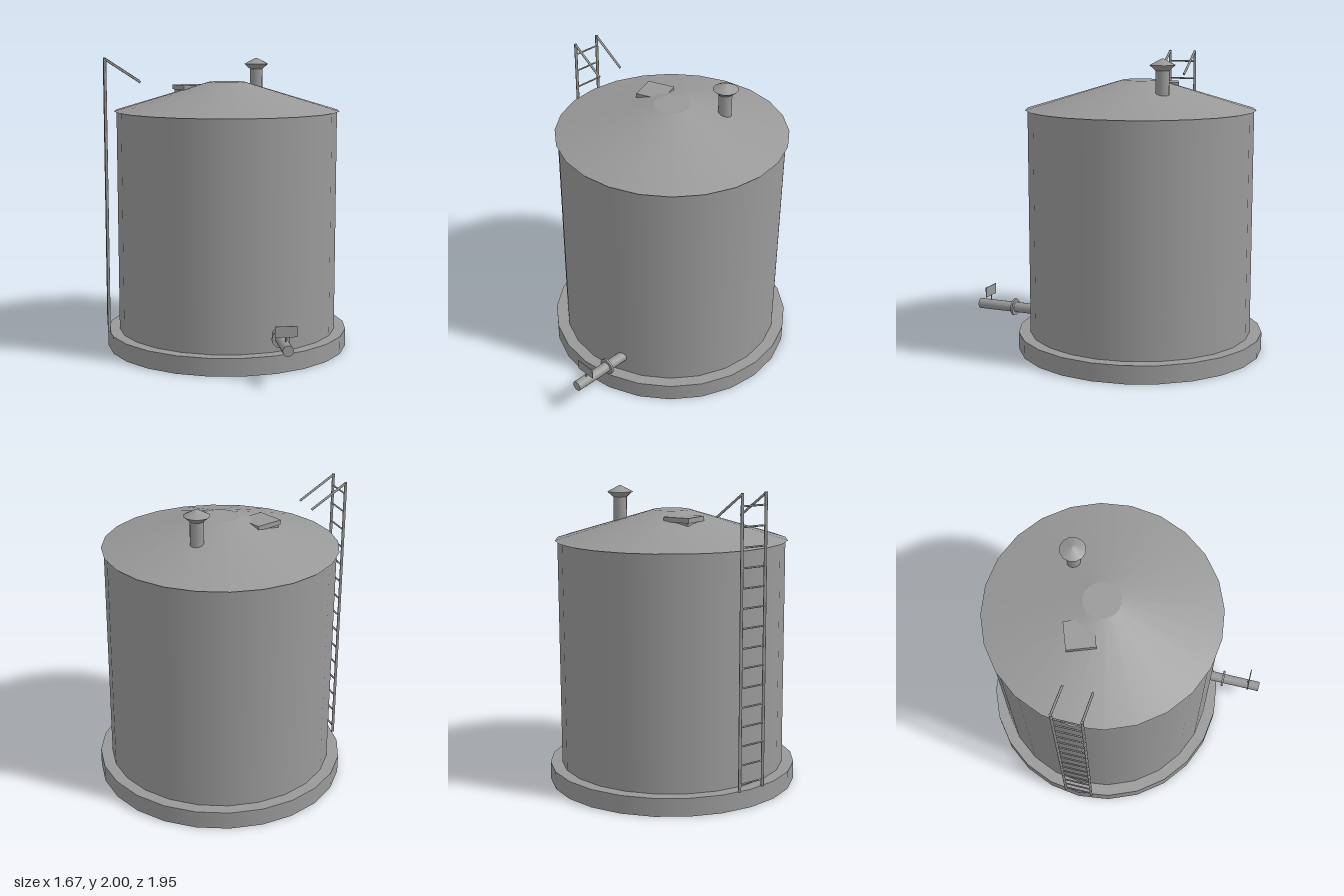
import * as THREE from 'three';

export function createModel() {
  const model = new THREE.Group();
  model.name = 'storageTank';
  const steel = new THREE.MeshStandardMaterial({ color: 0x999999 });
  steel.name = 'grey steel';

  function add(name, geometry, x, y, z, parent = model) {
    const mesh = new THREE.Mesh(geometry, steel);
    mesh.name = name;
    mesh.position.set(x, y, z);
    parent.add(mesh);
    return mesh;
  }
  // Upright cylinder or cone between two heights
  function drum(name, rTop, rBottom, y0, y1, sides, x, z, parent) {
    const g = new THREE.CylinderGeometry(rTop, rBottom, y1 - y0, sides);
    return add(name, g, x, (y0 + y1) / 2, z, parent);
  }
  // Round bar between two points
  function bar(name, a, b, radius, sides, parent) {
    const p = new THREE.Vector3(...a), q = new THREE.Vector3(...b);
    const d = q.clone().sub(p), mid = p.clone().add(q).multiplyScalar(0.5);
    const g = new THREE.CylinderGeometry(radius, radius, d.length(), sides);
    const mesh = add(name, g, mid.x, mid.y, mid.z, parent);
    mesh.quaternion.setFromUnitVectors(new THREE.Vector3(0, 1, 0), d.normalize());
    return mesh;
  }
  function group(name) {
    const g = new THREE.Group();
    g.name = name;
    model.add(g);
    return g;
  }

  // Tank body
  const cz = -0.14;
  drum('base', 0.835, 0.835, 0, 0.12, 24, 0, cz);
  drum('wall', 0.755, 0.755, 0.12, 1.64, 24, 0, cz);
  drum('roof', 0.122, 0.772, 1.636, 1.831, 24, 0, cz);

  // Roof vent with a double-cone cap
  const vent = group('vent');
  drum('ventPipe', 0.045, 0.045, 1.68, 1.93, 12, 0.24, -0.385, vent);
  drum('ventCapUnderside', 0.085, 0.045, 1.91, 1.945, 12, 0.24, -0.385, vent);
  drum('ventCapTop', 0.008, 0.085, 1.945, 1.985, 12, 0.24, -0.385, vent);

  // Roof hatch, turned and partly sunk in the slope
  const hatch = group('hatch');
  hatch.position.set(-0.24, 0, -0.222);
  hatch.rotation.y = 0.35;
  add('hatchNeck', new THREE.BoxGeometry(0.17, 0.08, 0.17), 0, 1.74, 0, hatch);
  add('hatchLid', new THREE.BoxGeometry(0.19, 0.032, 0.19), 0, 1.792, 0, hatch);

  // Ladder with sloping grab rails
  const ladder = group('ladder');
  const lx = -0.83, zs = [-0.235, -0.045];
  for (const z of zs) {
    bar('ladderRail', [lx, 0.12, z], [lx, 1.995, z], 0.01, 8, ladder);
    bar('grabRail', [lx, 1.99, z], [-0.595, 1.835, z], 0.008, 8, ladder);
  }
  for (let i = 0; i < 15; i++) {
    const y = 1.917 - i * 0.125;
    bar('rung', [lx, y, zs[0]], [lx, y, zs[1]], 0.006, 6, ladder);
  }

  // Outlet pipe with flange and valve handle
  const outlet = group('outlet');
  bar('outletPipe', [0.24, 0.24, 0.55], [0.24, 0.24, 0.977], 0.035, 16, outlet);
  bar('flange', [0.24, 0.24, 0.698], [0.24, 0.24, 0.712], 0.058, 16, outlet);
  bar('valveStem', [0.24, 0.26, 0.892], [0.24, 0.31, 0.892], 0.005, 6, outlet);
  add('valveHandle', new THREE.BoxGeometry(0.14, 0.07, 0.005), 0.24, 0.34, 0.895, outlet);

  return model;
}
